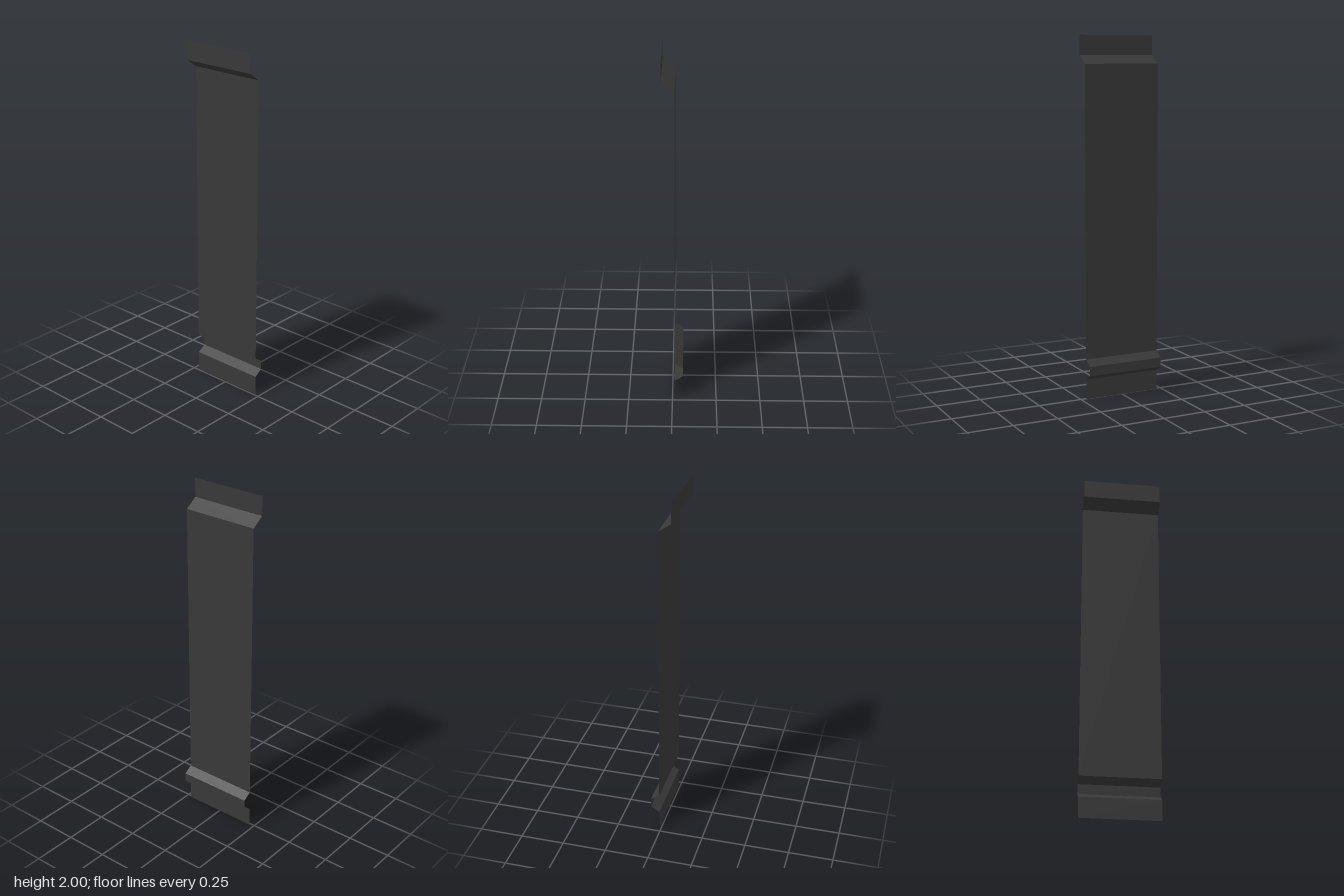
import * as THREE from 'three';

const WIDTH = 0.443;

// Folded sheet profile from top to bottom as [y, z], with the name of the strip that starts there
const PROFILE = [
  [2.0, 0.059, 'topFlange'],
  [1.893, 0.059, 'upperBend'],
  [1.846, -0.0105, 'mainPanel'],
  [0.227, -0.0105, 'lowerBend'],
  [0.196, -0.0595, 'recessedStrip'],
  [0.143, -0.0595, 'returnBend'],
  [0.112, -0.0105, 'bottomFlange'],
  [0, -0.0105],
];

// Flat strip spanning the full width between two profile points
function strip([y0, z0, name], [y1, z1], material) {
  const length = Math.hypot(y1 - y0, z1 - z0);
  const geometry = new THREE.PlaneGeometry(WIDTH, length);
  geometry.rotateX(Math.atan2(z0 - z1, y0 - y1));
  geometry.translate(0, (y0 + y1) / 2, (z0 + z1) / 2);
  const mesh = new THREE.Mesh(geometry, material);
  mesh.name = name;
  return mesh;
}

export function createModel() {
  const group = new THREE.Group();
  group.name = 'foldedCladdingPanel';

  const darkGrey = new THREE.MeshStandardMaterial({ color: 0x383838, side: THREE.DoubleSide });
  darkGrey.name = 'darkGrey';

  for (let i = 0; i < PROFILE.length - 1; i++) {
    group.add(strip(PROFILE[i], PROFILE[i + 1], darkGrey));
  }
  return group;
}
